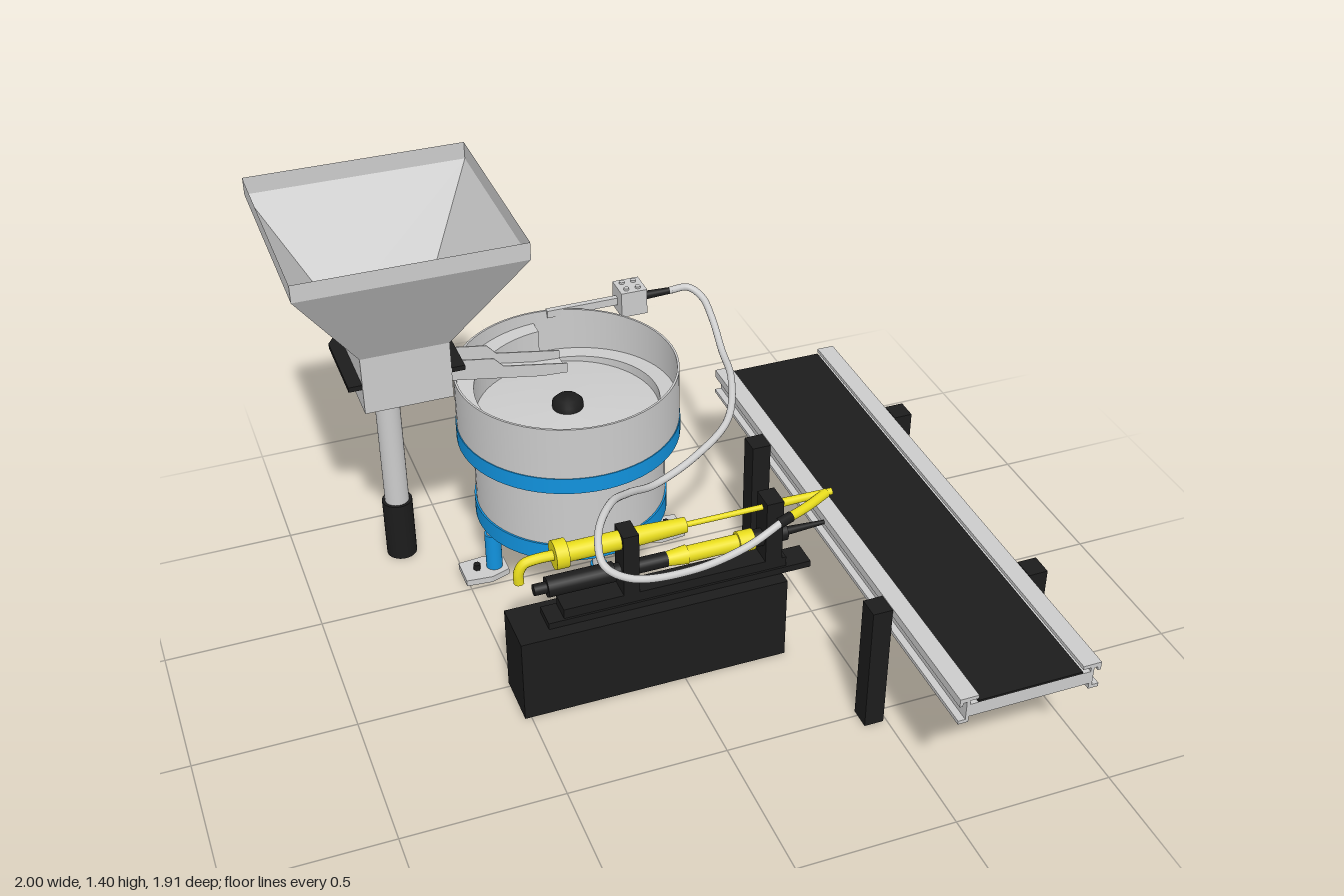
import * as THREE from 'three';
import { ParametricGeometry } from 'three/addons/geometries/ParametricGeometry.js';

const mat = (color, extra = {}) => new THREE.MeshStandardMaterial({ color, ...extra });
const grey = mat(0xcccccc);
const shell = mat(0xcccccc, { side: THREE.DoubleSide, flatShading: true });
const black = mat(0x1c1c1c);
const blue = mat(0x1192dd);
const yellow = mat(0xe8dc1c);

export function createModel() {
  const model = new THREE.Group();

  const group = (name, x = 0, y = 0, z = 0) => {
    const g = new THREE.Group();
    g.name = name;
    g.position.set(x, y, z);
    model.add(g);
    return g;
  };
  const add = (parent, name, geometry, material) => {
    const m = new THREE.Mesh(geometry, material);
    m.name = name;
    parent.add(m);
    return m;
  };
  // Box given by its limits on each axis
  const box = (p, name, m, x0, x1, y0, y1, z0, z1) => {
    const b = add(p, name, new THREE.BoxGeometry(x1 - x0, y1 - y0, z1 - z0), m);
    b.position.set((x0 + x1) / 2, (y0 + y1) / 2, (z0 + z1) / 2);
    return b;
  };
  // Upright cylinder from y0 to y1
  const post = (p, name, m, x, z, y0, y1, r, n = 32) => {
    const c = add(p, name, new THREE.CylinderGeometry(r, r, y1 - y0, n), m);
    c.position.set(x, (y0 + y1) / 2, z);
    return c;
  };
  // Cylinder lying along x from x0 to x1
  const rod = (p, name, m, x0, x1, y, z, r0, r1 = r0) => {
    const c = add(p, name, new THREE.CylinderGeometry(r1, r0, x1 - x0, 24), m);
    c.rotation.z = -Math.PI / 2;
    c.position.set((x0 + x1) / 2, y, z);
    return c;
  };
  const tube = (p, name, m, pts, r, n = 24) => {
    const curve = new THREE.CatmullRomCurve3(pts.map(q => new THREE.Vector3(...q)));
    return add(p, name, new THREE.TubeGeometry(curve, n, r, 12), m);
  };
  const polygon = pts => new THREE.Shape(pts.map(q => new THREE.Vector2(...q)));
  const extrude = (pts, depth) =>
    new THREE.ExtrudeGeometry(polygon(pts), { depth, bevelEnabled: false });
  const lathe = (pts, n, start = 0) =>
    new THREE.LatheGeometry(pts.map(q => new THREE.Vector2(...q)), n, start);

  // Hopper: square funnel with rim and neck
  const hopper = group('hopper', -0.662, 0, -0.565);
  const s = Math.SQRT2;
  add(hopper, 'hopperFunnel', lathe([[0, 0.81], [0.136 * s, 0.81], [0.136 * s, 1.0],
    [0.339 * s, 1.345], [0.339 * s, 1.4]], 4, Math.PI / 4), shell);
  const plate = add(hopper, 'hopperPlate', extrude([[-0.178, -0.135], [0.178, -0.135],
    [0.178, 0.13], [0.07, 0.295], [-0.07, 0.295], [-0.178, 0.13]], 0.016), black);
  plate.rotation.x = -Math.PI / 2;
  plate.position.y = 0.895;
  post(hopper, 'hopperPost', grey, 0, -0.222, 0.2, 0.8, 0.04);
  post(hopper, 'hopperPostCollar', grey, 0, -0.222, 0.77, 1.0, 0.044);
  post(hopper, 'hopperPostBase', black, 0, -0.222, 0, 0.215, 0.05);

  // Feed chute: two side walls and a sloping floor
  const chute = group('feedChute');
  for (const z of [-0.609, -0.529]) {
    add(chute, 'chuteWall', extrude([[-0.53, 0.808], [-0.22, 0.755], [-0.135, 0.75],
      [-0.135, 0.783], [-0.34, 0.818], [-0.37, 0.852], [-0.53, 0.878]], 0.004), grey).position.z = z;
  }
  add(chute, 'chuteFloor', extrude([[-0.53, 0.808], [-0.22, 0.755], [-0.135, 0.75],
    [-0.135, 0.755], [-0.22, 0.76], [-0.53, 0.814]], 0.084), grey).position.z = -0.609;

  // Vibratory bowl
  const bowl = group('bowlFeeder', -0.126, 0, -0.566);
  const wall = mat(0xcccccc, { side: THREE.DoubleSide });
  add(bowl, 'bowlWall', new THREE.CylinderGeometry(0.357, 0.357, 0.2, 64, 1, true), wall).position.y = 0.645;
  add(bowl, 'bowlLiner', new THREE.CylinderGeometry(0.35, 0.35, 0.2, 64, 1, true), wall).position.y = 0.645;
  const rim = add(bowl, 'bowlRim', new THREE.RingGeometry(0.35, 0.357, 64), wall);
  rim.rotation.x = -Math.PI / 2;
  rim.position.y = 0.745;
  add(bowl, 'bowlFloor', lathe([[0.35, 0.57], [0.29, 0.58], [0.15, 0.592], [0, 0.597]], 64), wall);
  // Spiral track: a ledge and its inner skirt, climbing one turn
  add(bowl, 'spiralTrack', new ParametricGeometry((u, v, t) => {
    const a = Math.PI * (3 - 2 * u);
    const y = 0.59 + 0.115 * u;
    const r = v < 0.25 ? 0.35 : 0.295;
    t.set(r * Math.sin(a), v > 0.75 ? 0.575 : y, r * Math.cos(a));
  }, 96, 2), shell);
  add(bowl, 'centreKnob', lathe([[0.05, 0.585], [0.05, 0.615], [0.035, 0.63], [0, 0.635]], 32), black);
  post(bowl, 'upperBand', blue, 0, 0, 0.51, 0.565, 0.36, 64);
  post(bowl, 'driveHousing', grey, 0, 0, 0.27, 0.52, 0.31, 64);
  post(bowl, 'lowerBand', blue, 0, 0, 0.215, 0.275, 0.316, 64);

  // Four feet around the drive housing
  for (let i = 0; i < 4; i++) {
    const leg = new THREE.Group();
    leg.name = 'bowlLeg';
    leg.rotation.y = i * Math.PI / 2;
    bowl.add(leg);
    post(leg, 'legSleeve', blue, 0, 0.275, 0.025, 0.16, 0.027);
    post(leg, 'legRod', grey, 0, 0.275, 0.16, 0.25, 0.02);
    const foot = add(leg, 'footPlate', extrude([[-0.05, -0.385], [0.05, -0.385], [0.058, -0.3],
      [0.035, -0.235], [-0.035, -0.235], [-0.058, -0.3]], 0.022), grey);
    foot.rotation.x = -Math.PI / 2;
    foot.position.y = 0.003;
    post(leg, 'footBolt', black, 0, 0.335, 0.025, 0.046, 0.012, 6);
  }

  // Outlet rail, coupling block and delivery hose
  const outlet = group('outlet');
  box(outlet, 'outletRail', grey, -0.08, 0.18, 0.722, 0.748, -0.923, -0.903);
  box(outlet, 'couplingBlock', grey, 0.165, 0.255, 0.695, 0.785, -0.953, -0.862);
  for (const z of [-0.93, -0.885]) {
    for (const x of [0.19, 0.23]) post(outlet, 'blockScrew', grey, x, z, 0.78, 0.792, 0.009, 12);
  }
  rod(outlet, 'hoseFitting', black, 0.25, 0.36, 0.735, -0.91, 0.015, 0.011);
  tube(outlet, 'deliveryHose', grey, [[0.35, 0.735, -0.91], [0.42, 0.733, -0.912], [0.455, 0.71, -0.87],
    [0.46, 0.67, -0.79], [0.45, 0.615, -0.68], [0.42, 0.6, -0.52], [0.34, 0.555, -0.36],
    [0.2, 0.51, -0.275], [0.04, 0.485, -0.21], [-0.08, 0.545, -0.12], [-0.18, 0.603, -0.01],
    [-0.25, 0.585, 0.09], [-0.262, 0.53, 0.17], [-0.19, 0.488, 0.207], [0.0, 0.47, 0.212],
    [0.18, 0.49, 0.19], [0.31, 0.53, 0.16]], 0.012, 160);

  // Driver unit base
  const driver = group('screwDriver');
  box(driver, 'driverBase', black, -0.52, 0.335, 0, 0.29, -0.017, 0.157);
  box(driver, 'slideRail', black, -0.42, 0.43, 0.29, 0.312, 0.03, 0.115);
  box(driver, 'slideCarriage', black, -0.37, 0.35, 0.312, 0.345, 0.035, 0.108);
  for (const [x0, x1] of [[-0.18, -0.13], [0.28, 0.335]]) {
    box(driver, 'driverBracket', black, x0, x1, 0.34, 0.56, 0.03, 0.108);
  }
  // Upper feeding cylinder with bent inlet
  const z = 0.07;
  tube(driver, 'bentInlet', yellow, [[-0.492, 0.455, z], [-0.492, 0.49, z], [-0.475, 0.52, z],
    [-0.44, 0.528, z], [-0.38, 0.528, z]], 0.016);
  rod(driver, 'inletFlange', yellow, -0.385, -0.345, 0.528, z, 0.045);
  rod(driver, 'feedCylinder', yellow, -0.345, -0.12, 0.528, z, 0.03);
  rod(driver, 'feedCylinderCone', yellow, -0.12, 0.03, 0.528, z, 0.03, 0.024);
  rod(driver, 'feedRod', yellow, 0.03, 0.36, 0.528, z, 0.009);
  rod(driver, 'feedNozzle', yellow, 0.34, 0.51, 0.528, z, 0.014, 0.011);
  tube(driver, 'nozzleBranch', yellow, [[0.32, 0.53, 0.155], [0.41, 0.528, 0.115], [0.49, 0.528, 0.072]], 0.015);
  tube(driver, 'branchFitting', black, [[0.29, 0.528, 0.165], [0.34, 0.53, 0.147]], 0.017, 2);
  // Lower motor and spindle
  rod(driver, 'motorCable', black, -0.45, -0.4, 0.415, z, 0.018);
  rod(driver, 'motor', black, -0.41, -0.2, 0.415, z, 0.032);
  rod(driver, 'motorCoupling', black, -0.2, -0.03, 0.415, z, 0.024);
  rod(driver, 'spindleFlange', yellow, -0.035, 0.035, 0.415, z, 0.022, 0.03);
  rod(driver, 'spindle', yellow, 0.035, 0.2, 0.415, z, 0.026);
  rod(driver, 'spindleCollar', yellow, 0.2, 0.25, 0.415, z, 0.034);
  rod(driver, 'spindleHolder', black, 0.25, 0.36, 0.415, z, 0.028);
  rod(driver, 'spindleBit', black, 0.36, 0.49, 0.415, z, 0.014, 0.007);

  // Conveyor: belt bed between two mirrored channel rails on four legs
  const conveyor = group('conveyor', 0.713, 0, 0.065);
  const z0 = -0.893, z1 = 0.895;
  box(conveyor, 'beltBed', grey, -0.2, 0.2, 0.365, 0.409, z0, z1);
  box(conveyor, 'belt', black, -0.164, 0.164, 0.409, 0.416, z0, z1);
  for (const side of [-1, 1]) {
    const half = new THREE.Group();
    half.name = side < 0 ? 'rightRail' : 'leftRail';
    if (side < 0) half.rotation.y = Math.PI;
    conveyor.add(half);
    const rail = add(half, 'channelRail', extrude([[0.164, 0.435], [0.164, 0.423], [0.19, 0.423],
      [0.19, 0.345], [0.222, 0.345], [0.222, 0.357], [0.2, 0.357], [0.2, 0.42], [0.212, 0.42],
      [0.212, 0.408], [0.222, 0.408], [0.222, 0.435]], z1 - z0), grey);
    rail.position.z = side > 0 ? z0 : -z1;
    for (const zl of [-0.443, 0.45]) {
      const c = zl * side;
      box(half, 'conveyorLeg', black, 0.224, 0.286, 0, 0.435, c - 0.035, c + 0.035);
    }
  }
  return model;
}
